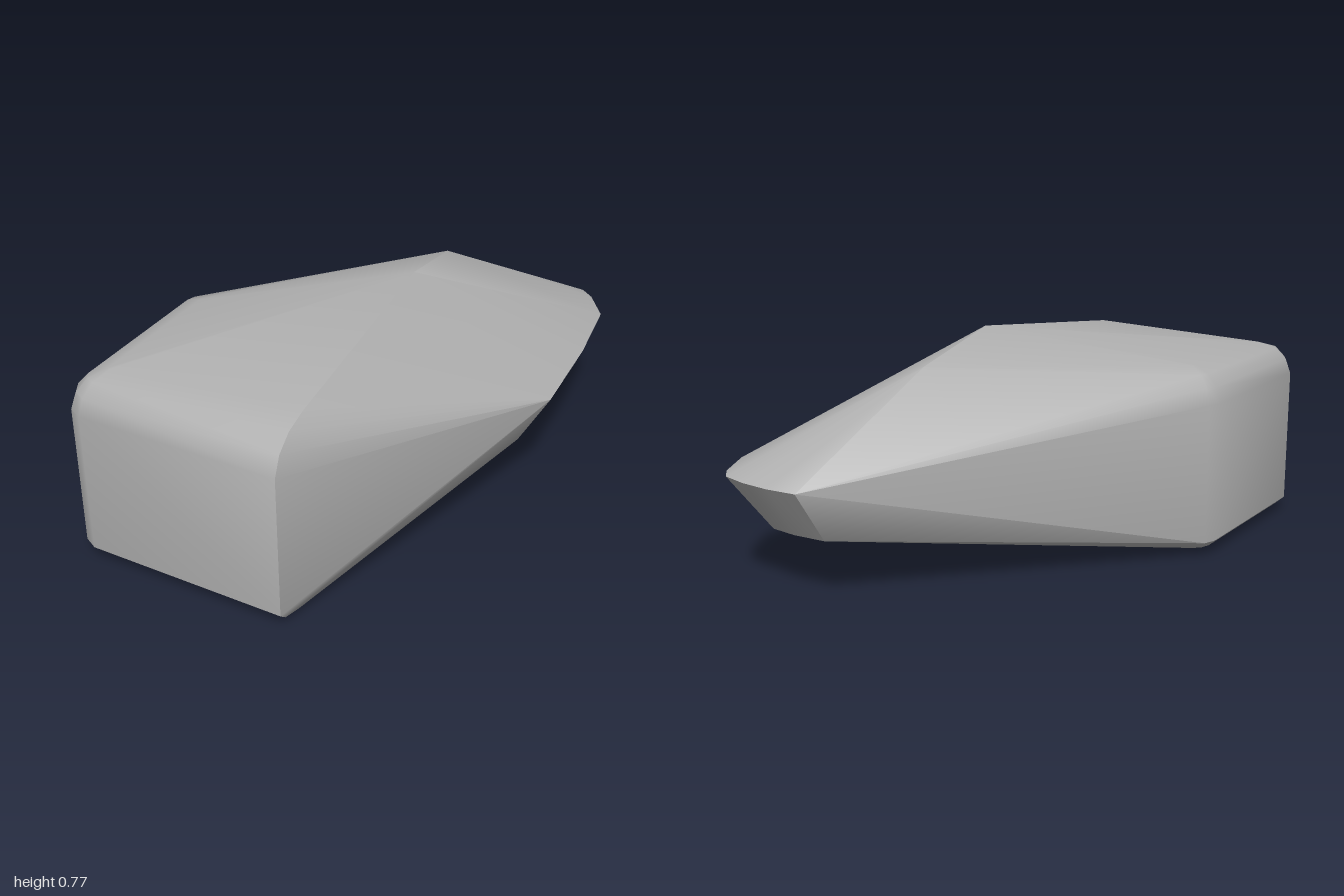
import * as THREE from 'three';
import { ConvexGeometry } from 'three/addons/geometries/ConvexGeometry.js';
import { toCreasedNormals } from 'three/addons/utils/BufferGeometryUtils.js';

// Rounded edge of the block: [inset from the wall, height], bottom to top
const edgeProfile = [[0.11, 0], [0.03, 0.025], [0, 0.05], [0, 0.54], [0.02, 0.595], [0.06, 0.635], [0.13, 0.655]];

// Upright columns of the block: [x, z, inset direction x, inset direction z]
const columns = [
  [-0.55, 0.95, 0.3, -1], [-0.6, 0.92, 0.6, -0.8], [-0.635, 0.86, 0.9, -0.4],
  [-0.65, 0.23, 0.9, 0.3], [-0.635, 0.185, 0.8, 0.5],
];

export function createModel() {
  const group = new THREE.Group();
  const stone = new THREE.MeshStandardMaterial({ color: 0xb0b0b0 });
  const points = [];
  const add = (x, y, z) => points.push(new THREE.Vector3(x, y, z));

  // Blunt rounded block at the front
  for (const [x, z, dx, dz] of columns) {
    for (const [inset, y] of edgeProfile) add(x + dx * inset, y, z + dz * inset);
  }

  // Sharp upright corner, rounded at its top and bottom
  for (const [z, y] of [[0.89, 0], [0.97, 0.025], [1, 0.05], [1, 0.54], [0.97, 0.605], [0.91, 0.65], [0.82, 0.675]]) {
    add(0.17, y, z);
  }

  // Ridge peak and the keel corner under it
  add(0.145, 0.77, -0.03);
  add(0.105, 0.69, -0.43);
  add(0.15, 0, 0.22);

  // Upper rim around the tail
  for (const [x, z] of [[0.16, -0.99], [0.27, -1], [0.38, -0.993], [0.48, -0.97], [0.53, -0.92], [0.61, -0.78], [0.64, -0.45], [0.65, -0.05]]) {
    add(x, 0.383, z);
  }

  // Lower rim, tucked in
  for (const [x, z] of [[0.15, -0.88], [0.27, -0.89], [0.37, -0.88], [0.44, -0.84], [0.51, -0.7], [0.535, -0.42], [0.545, -0.04]]) {
    add(x, 0.205, z);
  }

  const boulder = new THREE.Mesh(toCreasedNormals(new ConvexGeometry(points), 0.6), stone);
  boulder.name = 'boulder';
  group.add(boulder);
  return group;
}
